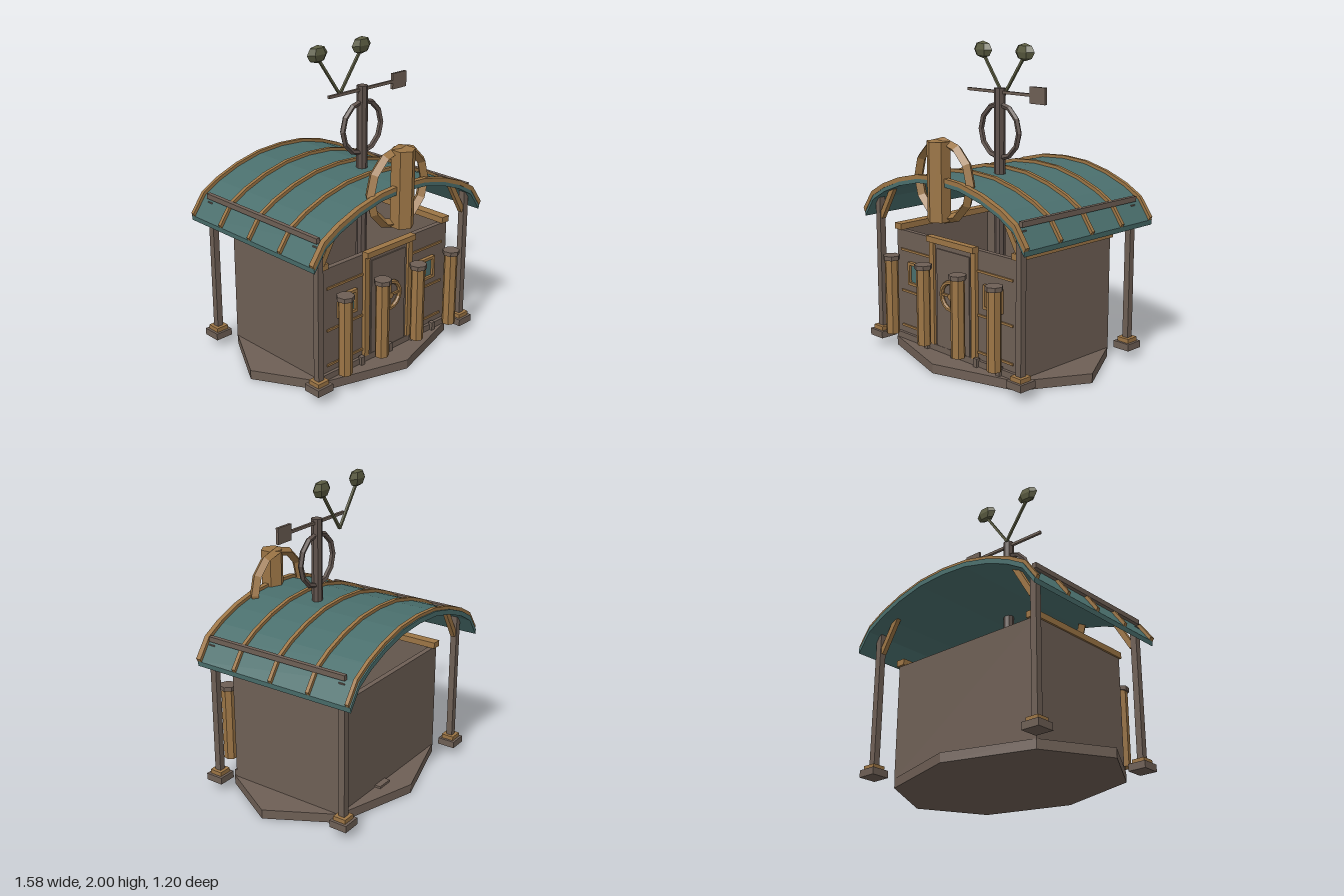
import * as THREE from 'three';

const mat = (name, color) => {
  const m = new THREE.MeshStandardMaterial({ color });
  m.name = name;
  return m;
};

export function createModel() {
  const model = new THREE.Group();
  const stone = mat('brown', 0x6e5f55);
  const wood = mat('wood', 0x9c7545);
  const teal = mat('teal', 0x4a6f6d);
  const dark = mat('dark brown', 0x5f524c);
  const olive = mat('olive', 0x5c5d42);

  // Adds a faceted mesh
  function add(name, geo, material, x = 0, y = 0, z = 0, parent = model) {
    const g = geo.index ? geo.toNonIndexed() : geo;
    g.computeVertexNormals();
    const mesh = new THREE.Mesh(g, material);
    mesh.name = name;
    mesh.position.set(x, y, z);
    parent.add(mesh);
    return mesh;
  }
  // Box given by its minimum and maximum corners
  const box = (name, m, x0, x1, y0, y1, z0, z1) =>
    add(name, new THREE.BoxGeometry(x1 - x0, y1 - y0, z1 - z0), m,
      (x0 + x1) / 2, (y0 + y1) / 2, (z0 + z1) / 2);
  // Square beam between two points
  function beam(name, m, a, b, w, d = w) {
    const p = new THREE.Vector3(...a), q = new THREE.Vector3(...b);
    const mid = p.clone().add(q).multiplyScalar(0.5);
    const mesh = add(name, new THREE.BoxGeometry(w, p.distanceTo(q), d), m, mid.x, mid.y, mid.z);
    mesh.quaternion.setFromUnitVectors(new THREE.Vector3(0, 1, 0), q.sub(p).normalize());
    return mesh;
  }

  // Octagonal ground slab
  const slab = new THREE.CylinderGeometry(1, 1, 0.06, 8);
  slab.scale(0.79, 1, 0.585);
  add('groundSlab', slab, stone, 0, 0.03, 0.015);

  // Open-topped walls
  box('frontWall', stone, -0.56, 0.56, 0.05, 0.79, 0.375, 0.41);
  box('backWall', stone, -0.56, 0.56, 0.05, 0.79, -0.4, -0.365);
  for (const s of [-1, 1]) {
    const side = s < 0 ? 'right' : 'left';
    box(side + 'Wall', stone, s * 0.5425 - 0.0175, s * 0.5425 + 0.0175, 0.05, 0.79, -0.365, 0.375);
    box(side + 'WallCap', wood, s * 0.54 - 0.032, s * 0.54 + 0.032, 0.79, 0.83, -0.415, 0.42);
  }

  // Front sill and scattered blocks
  box('frontSill', stone, -0.555, 0.555, 0.06, 0.1, 0.41, 0.43);
  for (const x of [-0.24, 0.01, 0.22, 0.42])
    box('sillBlock', stone, x - 0.015, x + 0.015, 0.06, 0.115, 0.42, 0.45);
  box('backBlock', stone, 0.05, 0.16, 0.06, 0.075, -0.44, -0.4);

  // Door, its frame and wheel
  box('door', stone, -0.17, 0.17, 0.1, 0.765, 0.41, 0.42);
  box('doorPanel', stone, -0.15, 0.15, 0.1, 0.735, 0.42, 0.428);
  box('lintel', wood, -0.215, 0.215, 0.775, 0.812, 0.41, 0.457);
  const wheel = new THREE.Group();
  wheel.name = 'doorWheel';
  wheel.position.set(0, 0.457, 0.44);
  model.add(wheel);
  add('wheelRim', new THREE.TorusGeometry(0.09, 0.015, 6, 16), wood, 0, 0, 0, wheel);
  add('wheelSpoke', new THREE.BoxGeometry(0.17, 0.014, 0.014), wood, 0, 0, 0, wheel);
  add('wheelSpoke', new THREE.BoxGeometry(0.014, 0.17, 0.014), wood, 0, 0, 0, wheel);
  const hub = new THREE.CylinderGeometry(0.02, 0.02, 0.03, 8);
  hub.rotateX(Math.PI / 2);
  add('wheelHub', hub, wood, 0, 0, 0, wheel);

  for (const s of [-1, 1]) {
    // Door jambs
    box('doorJamb', wood, s * 0.193 - 0.02, s * 0.193 + 0.02, 0.1, 0.775, 0.41, 0.435);
    // Windows
    const x = s * 0.353;
    box('windowPane', teal, x - 0.07, x + 0.07, 0.455, 0.58, 0.41, 0.418);
    for (const y of [0.45, 0.584])
      box('windowRail', wood, x - 0.077, x + 0.077, y - 0.009, y + 0.009, 0.41, 0.435);
    for (const d of [-0.068, 0.068])
      box('windowStile', wood, x + d - 0.009, x + d + 0.009, 0.45, 0.584, 0.41, 0.435);
    box('windowMullion', wood, x - 0.004, x + 0.004, 0.455, 0.58, 0.41, 0.424);
    // Wall battens
    for (const y of [0.148, 0.385, 0.662])
      box('wallBatten', wood, s * 0.365 - 0.15, s * 0.365 + 0.15, y - 0.007, y + 0.007, 0.41, 0.42);
    // Faceted columns with caps
    for (const cx of [0.16, 0.475]) {
      add('column', new THREE.CylinderGeometry(0.045, 0.045, 0.5, 7), wood, s * cx, 0.38, 0.53);
      add('columnCap', new THREE.CylinderGeometry(0.056, 0.056, 0.028, 7), stone, s * cx, 0.636, 0.53);
    }
    // Roof posts, feet and braces
    for (const z of [0.478, -0.492]) {
      const px = s * 0.643;
      box('postFoot', stone, px - 0.06, px + 0.06, 0.06, 0.105, z - 0.06, z + 0.06);
      box('postCollar', wood, px - 0.043, px + 0.043, 0.105, 0.132, z - 0.043, z + 0.043);
      box('post', stone, px - 0.021, px + 0.021, 0.13, 1.0, z - 0.021, z + 0.021);
      beam('postBrace', wood, [s * 0.625, 0.87, z], [s * 0.5, 1.08, z], 0.035, 0.03);
    }
    // Long rail on the roof
    box('roofRail', stone, s * 0.655 - 0.014, s * 0.655 + 0.014, 1.02, 1.053, -0.515, 0.495);
  }

  // Arched roof and its ribs
  const half = [[0.19, 1.193], [0.37, 1.15], [0.525, 1.09], [0.643, 1.022], [0.73, 0.9]];
  const arc = [...half.map(([x, y]) => [-x, y]).reverse(), [0, 1.205], ...half];
  function arch(name, m, up, down, wide, z0, z1) {
    const pts = [
      ...arc.map(([x, y]) => new THREE.Vector2(x * wide, y + up)),
      ...arc.map(([x, y]) => new THREE.Vector2(x * 0.995, y - down)).reverse(),
    ];
    const geo = new THREE.ExtrudeGeometry(new THREE.Shape(pts), { depth: z1 - z0, bevelEnabled: false });
    add(name, geo, m, 0, 0, z0);
  }
  arch('roofShell', teal, 0, 0.032, 1, -0.6, 0.54);
  for (let i = 0; i < 5; i++) {
    const z = 0.521 - i * 0.275;
    arch('roofRib', wood, 0.02, 0.006, 1.015, z - 0.012, z + 0.012 + (i === 0 ? 0.01 : 0));
  }

  // Front emblem: ring and hexagonal drum
  const ring = new THREE.TorusGeometry(0.236, 0.029, 4, 12);
  ring.scale(1, 1, 1.25);
  add('frontRing', ring, wood, 0, 1.195, 0.488);
  add('frontDrum', new THREE.CylinderGeometry(0.075, 0.075, 0.485, 6), wood, 0, 1.197, 0.528);

  // Mast with ring and vane
  const mx = 0.083, mz = 0.103;
  add('mast', new THREE.CylinderGeometry(0.035, 0.035, 1.67, 8), dark, mx, 0.895, mz);
  add('mastRing', new THREE.TorusGeometry(0.167, 0.018, 5, 12), dark, mx, 1.465, mz);
  box('vaneRod', stone, -0.2, 0.35, 1.696, 1.714, mz - 0.009, mz + 0.009);
  box('vanePlate', stone, 0.345, 0.47, 1.656, 1.757, mz - 0.009, mz + 0.009);

  // Forked stems with faceted pods
  for (const s of [-1, 1]) {
    beam('podStem', olive, [0, 1.665, -0.01], [s * 0.175, 1.91, -0.01], 0.015);
    const pod = new THREE.SphereGeometry(1, 6, 4);
    pod.scale(0.083, 0.055, 0.035);
    add('pod', pod, olive, s * 0.185, 1.945, -0.01);
  }
  return model;
}
